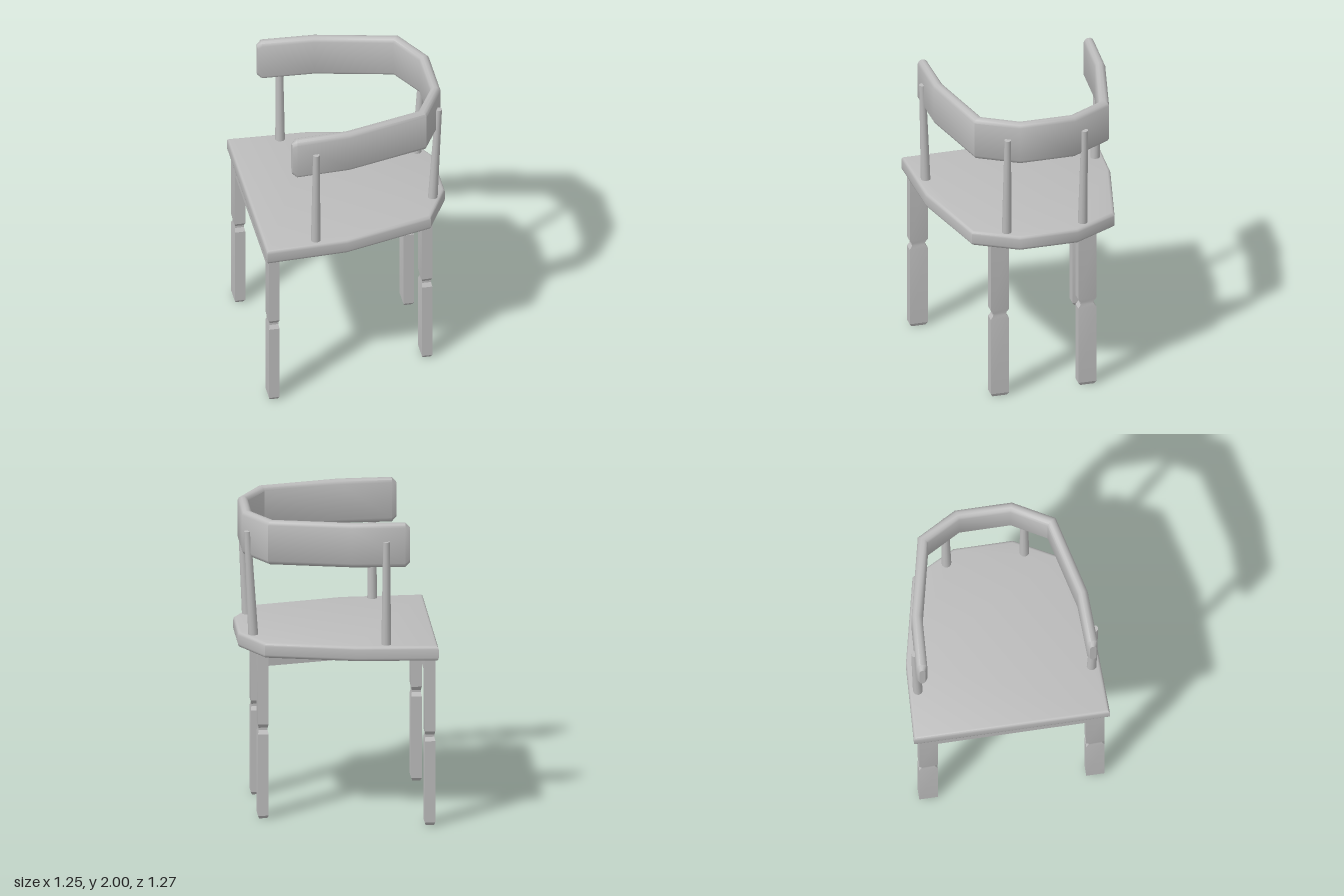
import * as THREE from 'three';
import { toCreasedNormals } from 'three/addons/utils/BufferGeometryUtils.js';

// Joins a row of equal-length rings into a capped solid.
function loft(rings, crease) {
  const n = rings[0].length;
  const index = [];
  for (let i = 0; i < rings.length - 1; i++) {
    for (let j = 0; j < n; j++) {
      const a = i * n + j, b = i * n + (j + 1) % n;
      index.push(a, b, b + n, a, b + n, a + n);
    }
  }
  const last = (rings.length - 1) * n;
  for (let j = 1; j < n - 1; j++) {
    index.push(0, j + 1, j, last, last + j, last + j + 1);
  }
  const g = new THREE.BufferGeometry();
  g.setAttribute('position', new THREE.Float32BufferAttribute(rings.flat(2), 3));
  g.setIndex(index);
  return toCreasedNormals(g, crease);
}

// Curved back band: rounded section swept along a mitred path.
function bandGeometry() {
  const path = [
    [-0.45, -0.555], [-0.42, -0.554], [-0.08, -0.535], [0.43, -0.42], [0.565, -0.178],
    [0.565, 0.172], [0.43, 0.413], [-0.08, 0.537], [-0.42, 0.549], [-0.45, 0.55],
  ].map(([x, z]) => new THREE.Vector2(x, z));
  const normal = (p, q) => {
    const d = q.clone().sub(p).normalize();
    return new THREE.Vector2(d.y, -d.x);
  };
  const rings = path.map((p, i) => {
    const end = i === 0 || i === path.length - 1;
    const n0 = normal(path[Math.max(i - 1, 0)], path[Math.max(i, 1)]);
    const k = Math.min(i, path.length - 2);
    const n1 = normal(path[k], path[k + 1]);
    const m = n0.clone().add(n1).normalize();
    m.divideScalar(m.dot(n0));
    const w = end ? 0.02 : 0.034, h = end ? 0.115 : 0.145;
    const section = [
      [w, -h + 0.028], [w, h - 0.028], [w * 0.75, h - 0.01], [w * 0.3, h],
      [-w * 0.3, h], [-w * 0.75, h - 0.01], [-w, h - 0.028],
      [-w, -h + 0.028], [-w * 0.75, -h + 0.01], [-w * 0.3, -h],
      [w * 0.3, -h], [w * 0.75, -h + 0.01],
    ];
    return section.map(([u, v]) => [p.x + m.x * u, 1.855 + v, p.y + m.y * u]);
  });
  return loft(rings, 0.75);
}

// Square leg with a notch halfway and a chamfered foot.
function legGeometry() {
  const stations = [
    [0, 0.026, 0.046], [0.02, 0.034, 0.06], [0.56, 0.034, 0.06], [0.585, 0.029, 0.043],
    [0.6, 0.029, 0.043], [0.625, 0.034, 0.06], [1.11, 0.034, 0.06],
  ];
  return loft(stations.map(([y, x, z]) => [[x, y, z], [x, y, -z], [-x, y, -z], [-x, y, z]]), 0.3);
}

// Seat slab with softened edges.
function seatGeometry() {
  const outline = [
    [-0.628, -0.637], [-0.1, -0.61], [0.475, -0.48], [0.625, -0.195],
    [0.625, 0.19], [0.475, 0.468], [-0.1, 0.615], [-0.628, 0.632],
  ];
  const shape = new THREE.Shape(outline.map(([x, z]) => new THREE.Vector2(x, -z)));
  const g = new THREE.ExtrudeGeometry(shape, {
    depth: 0.056, bevelEnabled: true, bevelThickness: 0.022,
    bevelSize: 0.02, bevelOffset: -0.02, bevelSegments: 3,
  });
  g.rotateX(-Math.PI / 2);
  g.translate(0, 1.122, 0);
  return toCreasedNormals(g, 0.7);
}

export function createModel() {
  const group = new THREE.Group();
  group.name = 'chair';
  const grey = new THREE.MeshStandardMaterial({ color: 0xbcbcbc });
  grey.name = 'plain grey';

  const add = (name, geometry, x = 0, y = 0, z = 0) => {
    const mesh = new THREE.Mesh(geometry, grey);
    mesh.name = name;
    mesh.position.set(x, y, z);
    group.add(mesh);
    return mesh;
  };

  add('seat', seatGeometry());
  add('backBand', bandGeometry());

  // Rail under the seat's straight edge
  add('frontRail', new THREE.BoxGeometry(0.06, 0.11, 0.98), -0.575, 1.055, 0);

  const leg = legGeometry();
  for (const side of [-1, 1]) {
    add('frontLeg', leg, -0.575, 0, side * 0.54);
    add('backLeg', leg, 0.475, 0, side * 0.29);

    // Diagonal rails meeting at the middle of the front rail
    const a = new THREE.Vector2(-0.57, side * 0.02), b = new THREE.Vector2(0.46, side * 0.27);
    const d = b.clone().sub(a);
    const rail = add('diagonalRail', new THREE.BoxGeometry(d.length(), 0.11, 0.065),
      (a.x + b.x) / 2, 1.055, (a.y + b.y) / 2);
    rail.rotation.y = -Math.atan2(d.y, d.x);

    // Tapered spindles leaning outwards
    const spindles = [
      ['sideSpindle', [-0.297, 1.19, side * 0.562], [-0.297, 1.885, side * 0.583]],
      ['backSpindle', [0.532, 1.19, side * 0.252], [0.57, 1.885, side * 0.255]],
    ];
    for (const [name, from, to] of spindles) {
      const p = new THREE.Vector3(...from), q = new THREE.Vector3(...to);
      const dir = q.clone().sub(p);
      const mesh = add(name, new THREE.CylinderGeometry(0.022, 0.032, dir.length(), 12));
      mesh.position.copy(p).add(q).multiplyScalar(0.5);
      mesh.quaternion.setFromUnitVectors(new THREE.Vector3(0, 1, 0), dir.normalize());
    }
  }
  return group;
}
